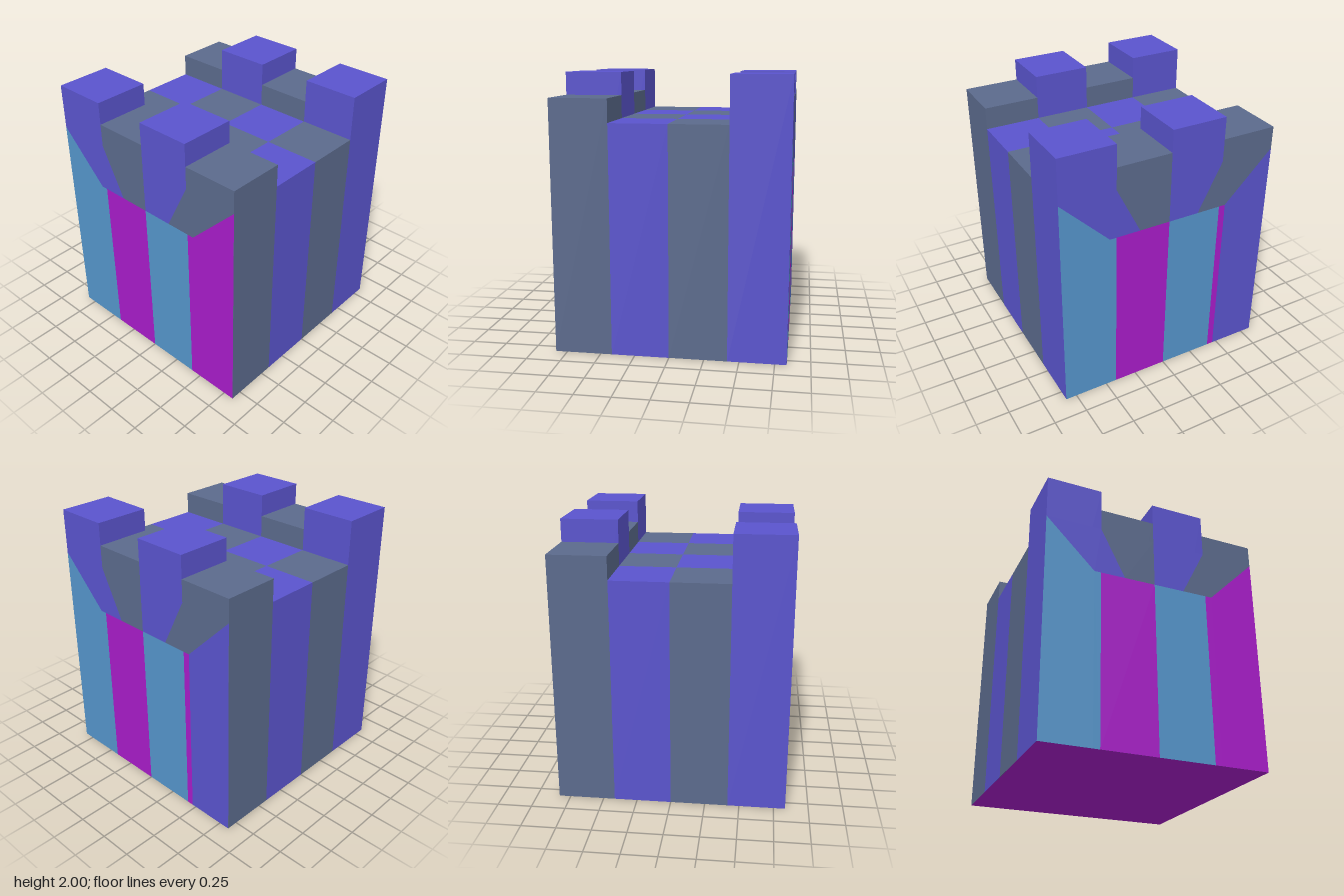
import * as THREE from 'three';

const mat = (color) => new THREE.MeshStandardMaterial({ color, flatShading: true });

export function createModel() {
  const model = new THREE.Group();
  const blue = mat(0x5a54cd), grey = mat(0x5b6a8c);
  const magenta = mat(0xa81cc9), sky = mat(0x5595cb);

  const C = 5 / 12;              // width of one checker cell
  const H = 2 * C;               // half width of the block
  const DECK = 5 / 3, SPRING = 1.3, TAPER = 0.56;
  const SKIN = 0.001;            // keeps the sheets clear of the columns

  const isBlue = (i, j) => (i + j) % 2 === 0;

  function add(name, geometry, material) {
    const mesh = new THREE.Mesh(geometry, material);
    mesh.name = name;
    model.add(mesh);
    return mesh;
  }

  // Checkered columns: low deck in the middle, battlements on both sides
  for (let i = 0; i < 4; i++) {
    for (let j = 0; j < 4; j++) {
      const onSide = i === 0 || i === 3;
      const top = !onSide ? DECK : isBlue(i, j) ? 2 : 11 / 6;
      const column = add(onSide ? 'battlementColumn' : 'deckColumn',
        new THREE.BoxGeometry(C, top - SKIN, C), isBlue(i, j) ? blue : grey);
      column.position.set(-H + C * (i + 0.5), (top + SKIN) / 2, -H + C * (j + 0.5));
    }
  }

  // Flat sheet on the left (s = 1) or right (s = -1) wall, from [z, y] corners
  function wallSheet(name, s, corners, material) {
    const shape = new THREE.Shape(corners.map(([z, y]) => new THREE.Vector2(-s * z, y)));
    const sheet = add(name, new THREE.ShapeGeometry(shape), material);
    sheet.rotation.y = s * Math.PI / 2;
    sheet.position.x = s * (H + SKIN);
  }

  // Side walls: tapering corbels over striped panels
  for (const s of [1, -1]) {
    const i = s > 0 ? 3 : 0;
    for (let j = 0; j < 4; j++) {
      const z0 = -H + C * j, z1 = z0 + C;
      const tileBlue = isBlue(i, j);
      wallSheet('corbel', s,
        [[z0, DECK], [z1, DECK], [z1 * TAPER, SPRING], [z0 * TAPER, SPRING]],
        tileBlue ? blue : grey);

      const panel = tileBlue ? sky : magenta;
      if (j === 1 || j === 2) {
        wallSheet('wallPanel', s, [[z0, 0], [z1, 0], [z1, SPRING], [z0, SPRING]], panel);
      } else {
        // End panels rise along the slanted corbel to the wall corner
        const e = j === 0 ? -1 : 1, foot = e * H * TAPER;
        const darkEnd = s > 0 && j === 0;
        wallSheet('endPanel', s,
          [[e * H, 0], [e * H, DECK], [foot, SPRING], [foot, 0]], darkEnd ? blue : panel);
        wallSheet('panelStrip', s,
          [[foot, 0], [foot, SPRING], [e * C, SPRING], [e * C, 0]], panel);
      }
    }
  }

  // Underside
  const base = add('underside', new THREE.PlaneGeometry(2 * H, 2 * H), magenta);
  base.rotation.x = Math.PI / 2;

  return model;
}
